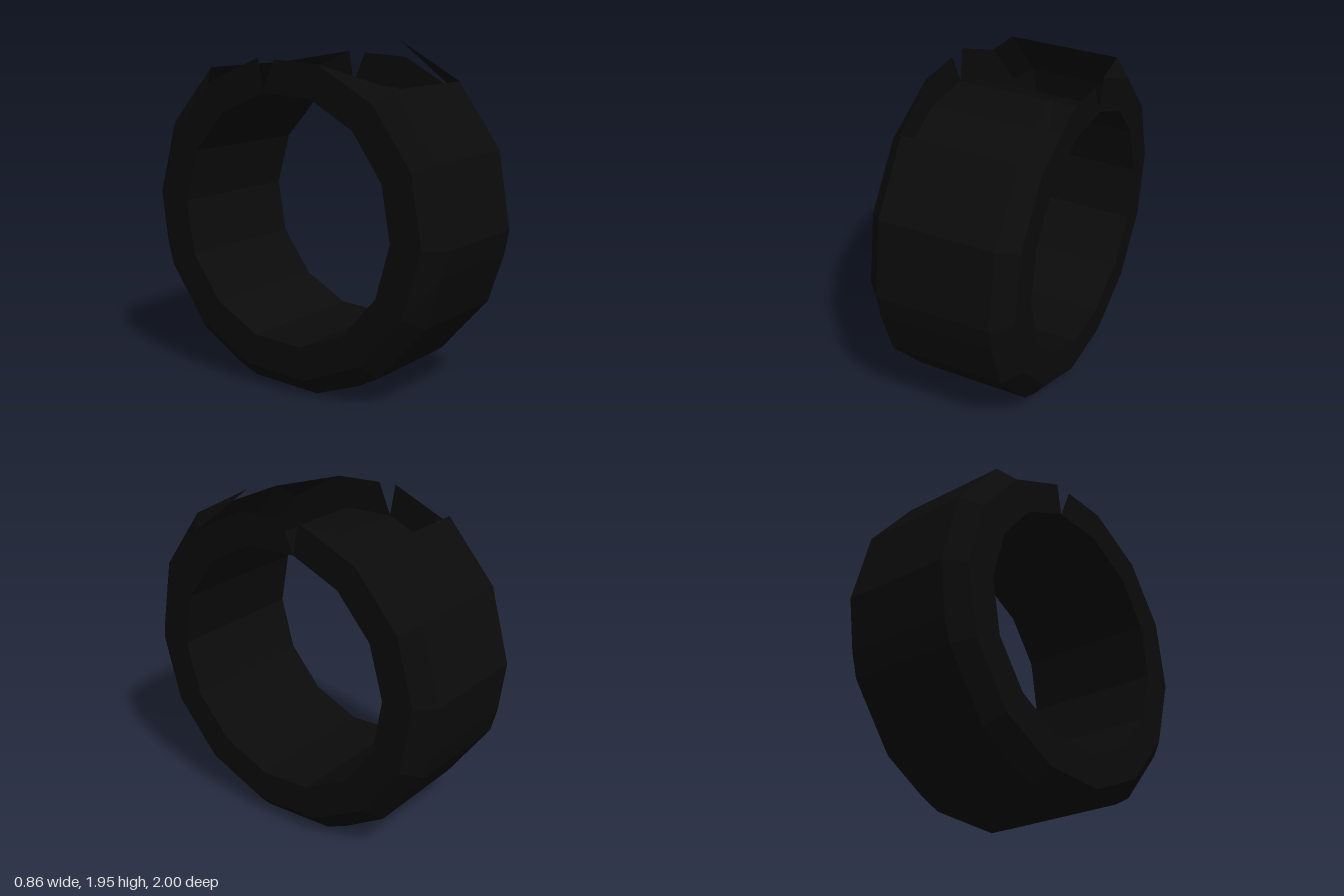
import * as THREE from 'three';

const SIDES = 14;
const STEP = (Math.PI * 2) / SIDES;
const START = THREE.MathUtils.degToRad(-3);
const CENTRE_Y = 0.985;
const TREAD = { r: 1.0, x: 0.335 };
const SHOULDER = { r: 0.9, x: 0.43 };
const BORE = { r: 0.71, x: 0.43 };

// Segments whose tread is slightly bulged between the corners
const BULGED = [7, 9, 11, 13];

function point(ring, station, side) {
  const r = ring === TREAD ? station.tread : ring.r * station.chord;
  return new THREE.Vector3(
    side * ring.x,
    CENTRE_Y + r * Math.sin(station.angle),
    r * Math.cos(station.angle)
  );
}

// Flat polygons, fanned into triangles with separate corners for hard facets
function facetMesh(name, polygons, material) {
  const points = [];
  for (const p of polygons) {
    for (let i = 1; i < p.length - 1; i++) points.push(p[0], p[i], p[i + 1]);
  }
  const geometry = new THREE.BufferGeometry().setFromPoints(points);
  geometry.computeVertexNormals();
  const mesh = new THREE.Mesh(geometry, material);
  mesh.name = name;
  return mesh;
}

export function createModel() {
  const group = new THREE.Group();
  group.name = 'tornTyre';
  const rubber = new THREE.MeshStandardMaterial({ color: 0x0b0b0b, side: THREE.DoubleSide, flatShading: true });
  rubber.name = 'blackRubber';

  // Stations around the wheel
  const stations = [];
  for (let k = 0; k < SIDES; k++) {
    const angle = START + k * STEP;
    stations.push({ k, angle, tread: 1, chord: 1 });
    if (BULGED.includes(k)) {
      const offset = STEP * 0.68;
      const chord = Math.cos(STEP / 2) / Math.cos(offset - STEP / 2);
      stations.push({ k, angle: angle + offset, tread: 0.991, chord });
    }
  }

  const tread = [], bore = [];
  const walls = { 1: [], [-1]: [] };
  const chamfers = { 1: [], [-1]: [] };

  stations.forEach((a, i) => {
    const b = stations[(i + 1) % stations.length];
    const k = a.k;
    const torn = k >= 2 && k <= 4;
    if (!torn) {
      tread.push([point(TREAD, a, -1), point(TREAD, a, 1), point(TREAD, b, 1), point(TREAD, b, -1)]);
    }
    bore.push([point(BORE, a, 1), point(BORE, a, -1), point(BORE, b, -1), point(BORE, b, 1)]);

    for (const side of [1, -1]) {
      const add = (list, polygon) => list.push(side > 0 ? polygon : polygon.reverse());
      const [ta, tb] = [point(TREAD, a, side), point(TREAD, b, side)];
      const [sa, sb] = [point(SHOULDER, a, side), point(SHOULDER, b, side)];
      const [ia, ib] = [point(BORE, a, side), point(BORE, b, side)];

      // Side wall, with a wedge-shaped split at the top
      const end = k === 3 ? sa.clone().lerp(sb, 0.72) : sb;
      add(walls[side], [sa, ia, ib, end]);

      // Bevelled shoulder, reduced to loose flaps where the tread is torn
      if (!torn) add(chamfers[side], [ta, sa, sb, tb]);
      else if (k === 2 && side > 0) add(chamfers[side], [ta, sa, tb]);
      else if (k === 2) add(chamfers[side], [ta, sa, sb]);
      else if (k === 4 && side > 0) add(chamfers[side], [sa, sb, tb]);
    }
  });

  group.add(
    facetMesh('tread', tread, rubber),
    facetMesh('innerBore', bore, rubber),
    facetMesh('leftSideWall', walls[1], rubber),
    facetMesh('rightSideWall', walls[-1], rubber),
    facetMesh('leftShoulder', chamfers[1], rubber),
    facetMesh('rightShoulder', chamfers[-1], rubber)
  );
  return group;
}
